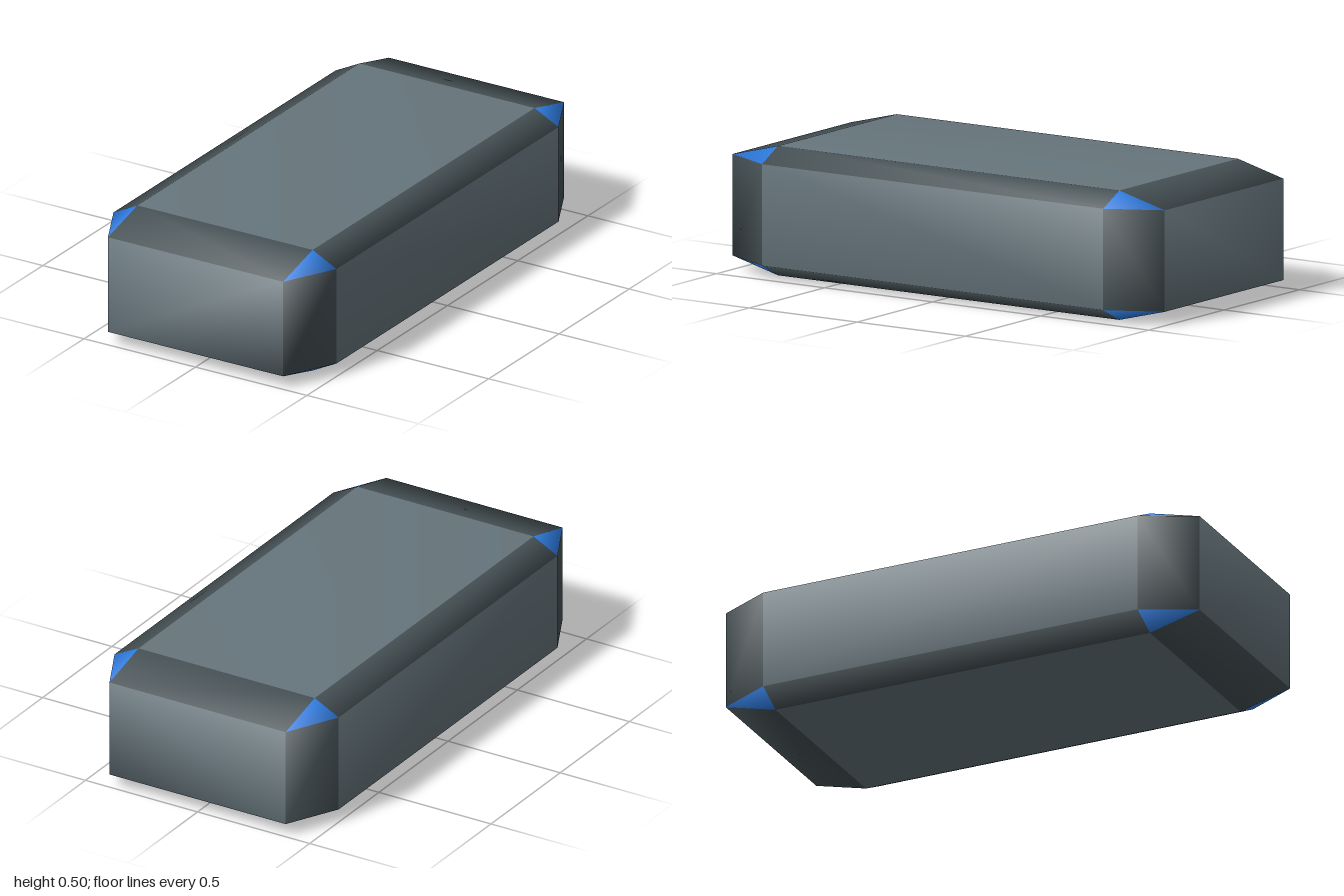
import * as THREE from 'three';

export function createModel() {
  const slate = new THREE.MeshStandardMaterial({ color: 0x66757c });
  slate.name = 'slate panel';
  const dark = new THREE.MeshStandardMaterial({ color: 0x465155 });
  dark.name = 'dark bevel';
  const blue = new THREE.MeshStandardMaterial({ color: 0x2f7fe6 });
  blue.name = 'blue corner';

  const half = [0.5, 0.25, 1];         // outer half sizes
  const inner = [0.393, 0.196, 0.79];  // half sizes of the flat panels
  const signs = [-1, 1];

  // Three shared vertices at each corner, one on each outer plane
  const positions = [];
  for (const sx of signs) for (const sy of signs) for (const sz of signs) {
    const s = [sx, sy, sz];
    for (let axis = 0; axis < 3; axis++) {
      positions.push(...s.map((v, i) => v * (i === axis ? half[i] : inner[i])));
    }
  }
  const vertex = (s, axis) =>
    ((s[0] > 0 ? 4 : 0) + (s[1] > 0 ? 2 : 0) + (s[2] > 0 ? 1 : 0)) * 3 + axis;
  const point = (i) => new THREE.Vector3().fromArray(positions, i * 3);

  // Add a triangle, turning it to face away from the centre
  const addTriangle = (list, a, b, c) => {
    const p = point(a);
    const normal = point(b).sub(p).cross(point(c).sub(p));
    list.push(...(normal.dot(p) > 0 ? [a, b, c] : [a, c, b]));
  };
  const addQuad = (list, a, b, c, d) => {
    addTriangle(list, a, b, c);
    addTriangle(list, a, c, d);
  };

  const panels = [], bevels = [], corners = [];
  for (let axis = 0; axis < 3; axis++) {
    const u = (axis + 1) % 3, v = (axis + 2) % 3;
    const at = (a, b, c) => {
      const s = [];
      s[axis] = a; s[u] = b; s[v] = c;
      return s;
    };
    // Flat panels across this axis
    for (const a of signs) {
      addQuad(panels, ...[[-1, -1], [1, -1], [1, 1], [-1, 1]]
        .map(([b, c]) => vertex(at(a, b, c), axis)));
    }
    // Bevels running along this axis
    for (const b of signs) for (const c of signs) {
      const p = at(-1, b, c), q = at(1, b, c);
      addQuad(bevels, vertex(p, u), vertex(q, u), vertex(q, v), vertex(p, v));
    }
  }
  // Triangular corner facets
  for (let i = 0; i < 24; i += 3) addTriangle(corners, i, i + 1, i + 2);

  // One shared surface keeps the shading smooth across colour groups
  const geometry = new THREE.BufferGeometry();
  geometry.setAttribute('position', new THREE.Float32BufferAttribute(positions, 3));
  geometry.setIndex([...panels, ...bevels, ...corners]);
  geometry.addGroup(0, panels.length, 0);
  geometry.addGroup(panels.length, bevels.length, 1);
  geometry.addGroup(panels.length + bevels.length, corners.length, 2);
  geometry.computeVertexNormals();

  const block = new THREE.Mesh(geometry, [slate, dark, blue]);
  block.name = 'beveledBlock';
  block.position.y = half[1];

  const group = new THREE.Group();
  group.name = 'beveledBox';
  group.add(block);
  return group;
}
